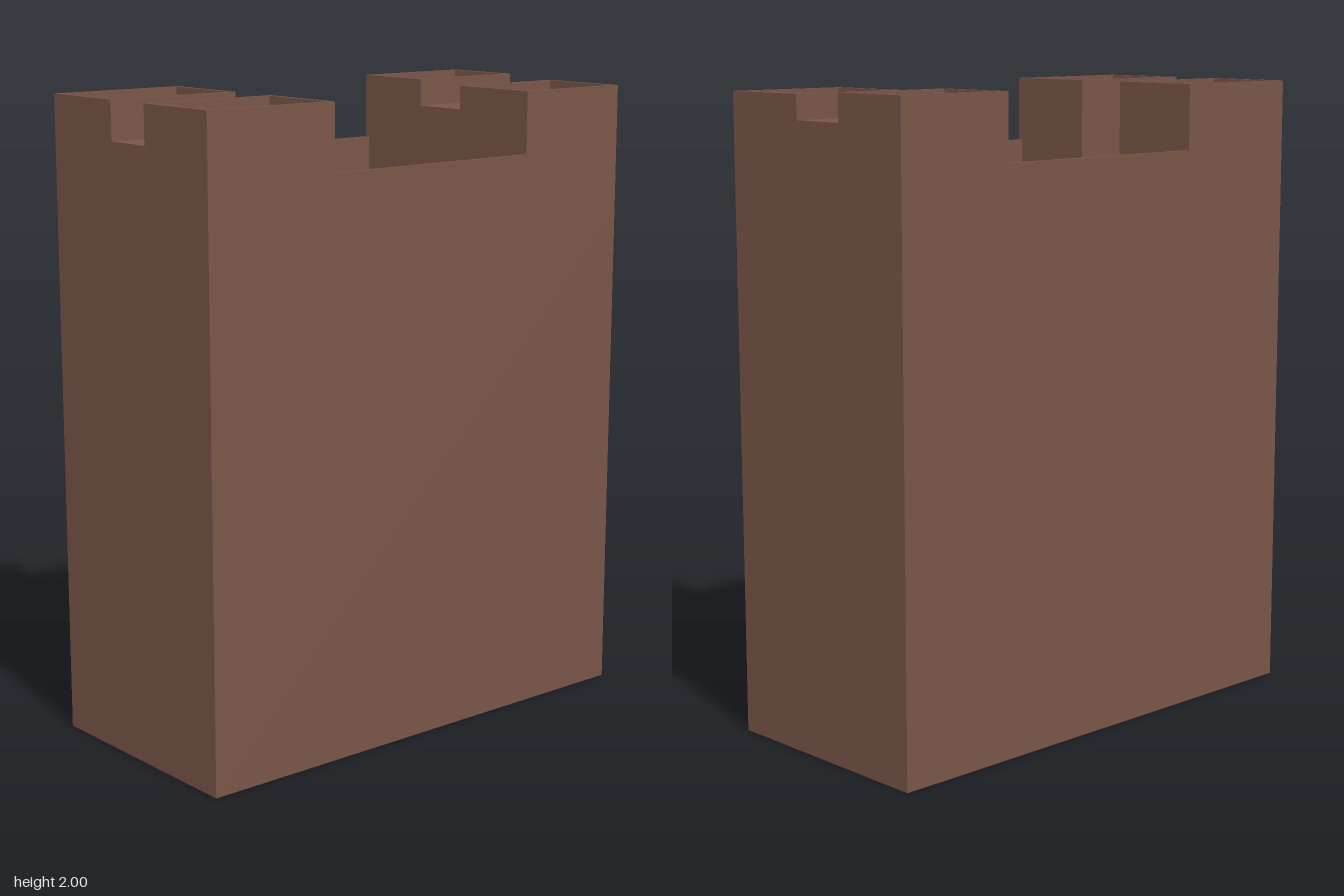
import * as THREE from 'three';

const HALF_W = 0.381, HALF_L = 0.817; // footprint half sizes
const ROOF = 1.6;                      // main roof level
const WALL = 0.016;                    // thin wall thickness

export function createModel() {
  const model = new THREE.Group();
  model.name = 'building';
  const material = new THREE.MeshStandardMaterial({ color: 0x795548, flatShading: true });

  function add(name, geometry) {
    const mesh = new THREE.Mesh(geometry, material);
    mesh.name = name;
    model.add(mesh);
  }

  // Solid block given by its extents
  function block(name, x0, x1, y0, y1, z0, z1) {
    const g = new THREE.BoxGeometry(x1 - x0, y1 - y0, z1 - z0);
    g.translate((x0 + x1) / 2, (y0 + y1) / 2, (z0 + z1) / 2);
    add(name, g);
  }

  // Open-topped rectangular ring of thin walls standing on the roof
  function parapetRing(name, x0, x1, z0, z1, top) {
    const rect = (Type, i) => new Type([
      new THREE.Vector2(x0 + i, -z1 + i), new THREE.Vector2(x1 - i, -z1 + i),
      new THREE.Vector2(x1 - i, -z0 - i), new THREE.Vector2(x0 + i, -z0 - i),
    ]);
    const shape = rect(THREE.Shape, 0);
    shape.holes.push(rect(THREE.Path, WALL));
    const g = new THREE.ExtrudeGeometry(shape, { depth: top - ROOF, bevelEnabled: false });
    g.rotateX(-Math.PI / 2);
    g.translate(0, ROOF, 0);
    add(name, g);
  }

  // Main volume
  block('mainBody', -HALF_W, HALF_W, 0, ROOF, -HALF_L, HALF_L);

  // Corner towers
  parapetRing('frontRightTower', -HALF_W, -0.083, 0.365, HALF_L, 2);
  parapetRing('frontLeftTower', 0.083, HALF_W, 0.362, HALF_L, 2);
  parapetRing('backRightTower', -HALF_W, -0.11, -HALF_L, -0.411, 2);
  parapetRing('backLeftTower', 0.078, HALF_W, -HALF_L, -0.411, 1.99);

  // Raised roof inside the shallow back tower
  block('backRightTowerRoof', -HALF_W + WALL, -0.11 - WALL, ROOF, 1.91, -HALF_L + WALL, -0.411 - WALL);

  // Raised roofs in the gaps between the towers
  block('frontGapRoof', -0.083, 0.083, ROOF, 1.88, 0.628, HALF_L);
  block('backGapRoof', -0.11, 0.078, ROOF, 1.915, -HALF_L, -0.411);

  // Low parapets along both long sides
  for (const [side, name] of [[-1, 'rightParapet'], [1, 'leftParapet']]) {
    const a = side * HALF_W, b = side * (HALF_W - WALL);
    block(name, Math.min(a, b), Math.max(a, b), ROOF, 1.795, -0.411, side < 0 ? 0.365 : 0.362);
  }

  // The building stands slightly turned on its plot
  model.rotation.y = -0.147;
  const root = new THREE.Group();
  root.name = 'turnedBuilding';
  root.add(model);
  return root;
}
